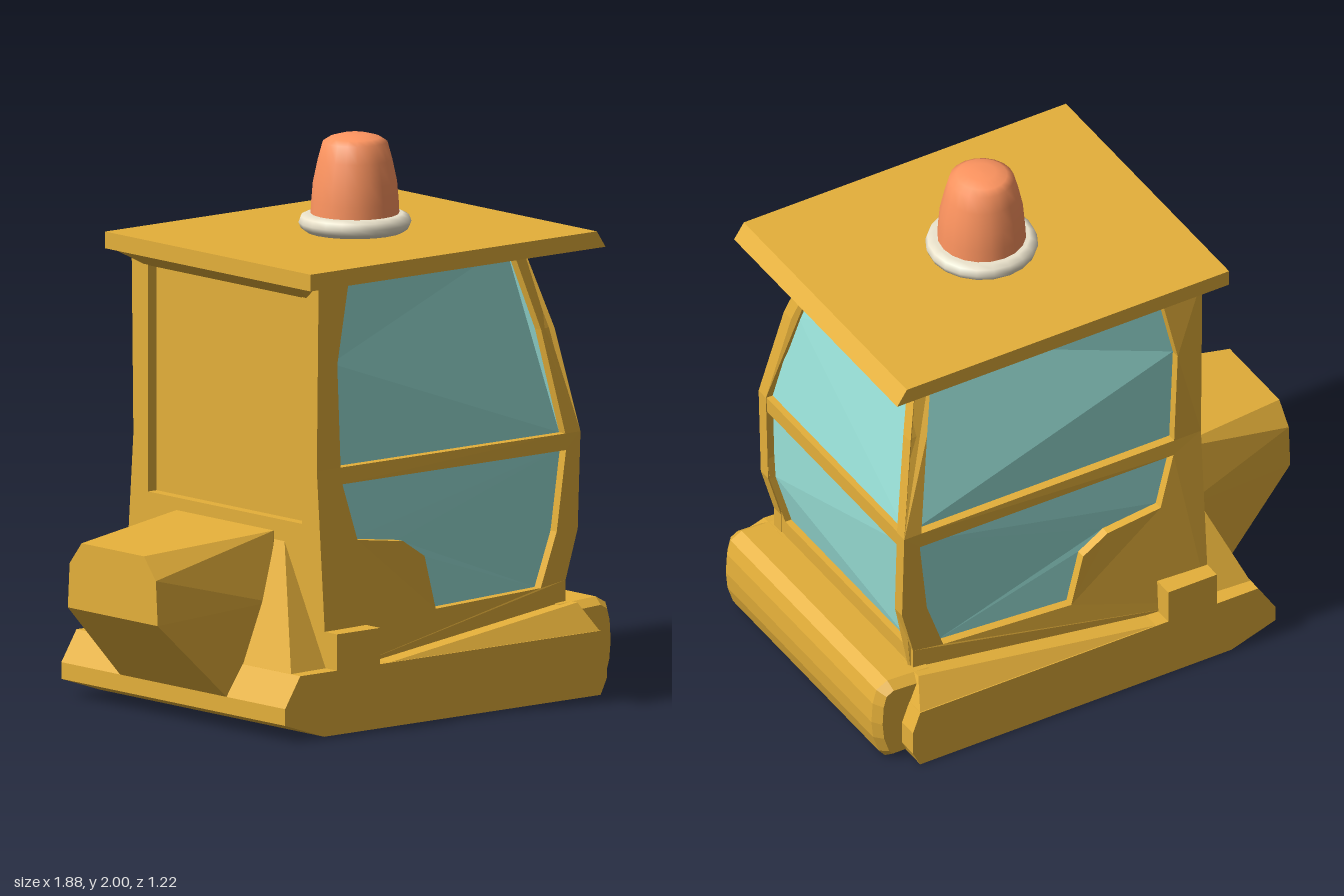
import * as THREE from 'three';
import { ConvexGeometry } from 'three/addons/geometries/ConvexGeometry.js';

const mat = (color) => new THREE.MeshStandardMaterial({ color, side: THREE.DoubleSide });
const yellow = mat(0xe5b03a), glass = mat(0x9ae2d9), orange = mat(0xff9560), cream = mat(0xebe3cc);

// Linear lookup in [key, value] rows
function lookup(rows, k) {
  if (k <= rows[0][0]) return rows[0][1];
  for (let i = 1; i < rows.length; i++) {
    const [k0, v0] = rows[i - 1], [k1, v1] = rows[i];
    if (k <= k1) return v0 + ((v1 - v0) * (k - k0)) / (k1 - k0);
  }
  return rows[rows.length - 1][1];
}

// Cab form by height: windscreen x, half width at the front and at the rear
const frontX = [[0.4, 0.75], [0.58, 0.8], [0.93, 0.8], [1.3, 0.735], [1.62, 0.65]];
const frontZ = [[0.33, 0.475], [0.58, 0.485], [0.93, 0.5], [1.3, 0.435], [1.62, 0.345]];
const rearZ = [[0.2, 0.555], [0.93, 0.5], [1.62, 0.51]];
function wallZ(x, y) {
  const t = THREE.MathUtils.clamp((x + 0.42) / (lookup(frontX, y) + 0.42), 0, 1);
  return THREE.MathUtils.lerp(lookup(rearZ, y), lookup(frontZ, y), t);
}

const toShape = (pts) => new THREE.Shape(pts.map(([x, y]) => new THREE.Vector2(x, y)));
const mirrored = (half) => [...half, ...half.map(([x, y]) => [-x, y]).reverse()];

function extrude(pts, depth, holes = [], options = {}) {
  const shape = toShape(pts);
  shape.holes = holes.map(toShape);
  return new THREE.ExtrudeGeometry(shape, { depth, bevelEnabled: false, ...options });
}

// Move every vertex by a rule, then refresh the normals
function reshape(geometry, rule) {
  const p = geometry.attributes.position;
  const v = new THREE.Vector3();
  for (let i = 0; i < p.count; i++) {
    rule(v.fromBufferAttribute(p, i));
    p.setXYZ(i, v.x, v.y, v.z);
  }
  geometry.computeVertexNormals();
  return geometry;
}

const hull = (pts) => new ConvexGeometry(pts.map((p) => new THREE.Vector3(...p)));
const bothSides = (pts) => pts.flatMap(([x, y, z]) => [[x, y, z], [x, y, -z]]);

export function createModel() {
  const model = new THREE.Group();
  model.name = 'cab';
  const add = (name, geometry, material = yellow) => {
    const mesh = new THREE.Mesh(geometry, material);
    mesh.name = name;
    model.add(mesh);
  };

  // Chassis with a raised step on each flank
  const chassis = [[-0.66, 0.06], [-0.48, 0], [0.8, 0], [0.83, 0.06], [0.83, 0.15], [0.8, 0.23],
    [-0.59, 0.23], [-0.66, 0.12]];
  add('chassis', extrude(chassis, 1.22).translate(0, 0, -0.61));
  for (const s of [1, -1]) {
    add('step', new THREE.BoxGeometry(0.2, 0.15, 0.1).translate(-0.32, 0.285, s * 0.56));
    add('sideLedge', hull([[-0.22, 0.225, s * 0.61], [0.8, 0.225, s * 0.61], [0.76, 0.325, s * 0.53],
      [0.76, 0.325, s * 0.4], [0.8, 0.225, s * 0.4], [-0.22, 0.225, s * 0.54]]));
  }

  // Rounded front bumper with chamfered ends
  const bumper = [[0.7, 0], [0.88, 0], [0.905, 0.03], [0.928, 0.1], [0.935, 0.17], [0.93, 0.25],
    [0.915, 0.305], [0.87, 0.33], [0.7, 0.322]];
  add('bumper', extrude(bumper, 1.0, [], { bevelEnabled: true, bevelSegments: 1, bevelSize: 0.025,
    bevelOffset: -0.025, bevelThickness: 0.035 }).translate(0, 0, -0.5));

  // Side walls and side windows
  const sideWall = [[-0.42, 0.2], [0.75, 0.2], [0.75, 0.4], [0.8, 0.58], [0.8, 0.93], [0.735, 1.3],
    [0.65, 1.62], [-0.42, 1.62], [-0.42, 0.93]];
  const sideUpper = [[-0.26, 1.595], [0.6, 1.595], [0.67, 1.3], [0.73, 0.93], [-0.31, 0.93], [-0.325, 1.3]];
  const sideLower = [[-0.305, 0.87], [0.735, 0.87], [0.7, 0.58], [0.63, 0.385], [0.12, 0.375],
    [0.07, 0.57], [-0.03, 0.635], [-0.245, 0.665]];
  const placeSide = (geometry, s, depth, inset) => reshape(geometry, (v) => {
    const z = wallZ(v.x, v.y) - inset;
    v.z += s > 0 ? z - depth : -z;
  });
  for (const s of [1, -1]) {
    add('sideWall', placeSide(extrude(sideWall, 0.05, [sideUpper, sideLower]), s, 0.05, 0));
    add('sideWindowUpper', placeSide(extrude(sideUpper, 0.01), s, 0.01, 0.034), glass);
    add('sideWindowLower', placeSide(extrude(sideLower, 0.01), s, 0.01, 0.034), glass);
  }

  // Front frame and windscreen, bent to follow the cab's nose
  const placeFront = (geometry, depth, inset) => reshape(geometry.rotateY(Math.PI / 2), (v) => {
    v.x += lookup(frontX, v.y) - depth - inset;
  });
  const frontFrame = mirrored([[0.462, 0.25], [0.465, 0.4], [0.473, 0.58], [0.488, 0.93], [0.42, 1.3], [0.33, 1.62]]);
  const frontUpper = mirrored([[0.46, 0.93], [0.385, 1.3], [0.295, 1.595]]);
  const frontLower = mirrored([[0.405, 0.385], [0.43, 0.58], [0.46, 0.87]]);
  add('frontFrame', placeFront(extrude(frontFrame, 0.04, [frontUpper, frontLower]), 0.04, 0.003));
  add('windscreenUpper', placeFront(extrude(frontUpper, 0.01), 0.01, 0.028), glass);
  add('windscreenLower', placeFront(extrude(frontLower, 0.01), 0.01, 0.028), glass);

  // Rear frame with a recessed panel
  const rearFrame = mirrored([[0.54, 0.2], [0.49, 0.93], [0.5, 1.62]]);
  const rearHole = mirrored([[0.42, 0.73], [0.42, 1.59]]);
  add('rearFrame', extrude(rearFrame, 0.06, [rearHole]).rotateY(Math.PI / 2).translate(-0.42, 0, 0));
  add('rearPanel', new THREE.BoxGeometry(0.02, 0.9, 0.88).translate(-0.37, 1.16, 0));

  // Roof with a raked front edge and tapered gusset under the rear overhang
  const roof = [[-0.5, 1.592], [0.865, 1.592], [0.825, 1.652], [-0.5, 1.652]];
  add('roof', extrude(roof, 1.12).translate(0, 0, -0.56));
  add('roofGusset', hull(bothSides([[-0.5, 1.593, 0.5], [-0.415, 1.593, 0.5], [-0.415, 1.54, 0.44]])));

  // Tapered rear housing and the fairing that blends it into the chassis
  add('rearHousing', hull(bothSides([
    [-0.94, 0.64, 0.17], [-0.94, 0.56, 0.235], [-0.94, 0.4, 0.245], [-0.66, 0.12, 0.29],
    [-0.42, 0.685, 0.265], [-0.47, 0.44, 0.305], [-0.42, 0.12, 0.31]])));
  add('rearFairing', hull(bothSides([
    [-0.59, 0.225, 0.56], [-0.47, 0.44, 0.31], [-0.41, 0.68, 0.31], [-0.41, 0.225, 0.55]])));

  // Beacon on the roof
  const lathe = (pts) => new THREE.LatheGeometry(pts.map(([r, y]) => new THREE.Vector2(r, y)), 20)
    .translate(0.185, 0, -0.005);
  add('beaconBase', lathe([[0, 1.65], [0.17, 1.65], [0.192, 1.665], [0.2, 1.685], [0.192, 1.707],
    [0.17, 1.717], [0, 1.717]]), cream);
  add('beaconLamp', lathe([[0.158, 1.7], [0.155, 1.76], [0.149, 1.83], [0.132, 1.91], [0.115, 1.972],
    [0.09, 1.988], [0.05, 1.999], [0, 2]]), orange);

  return model;
}
